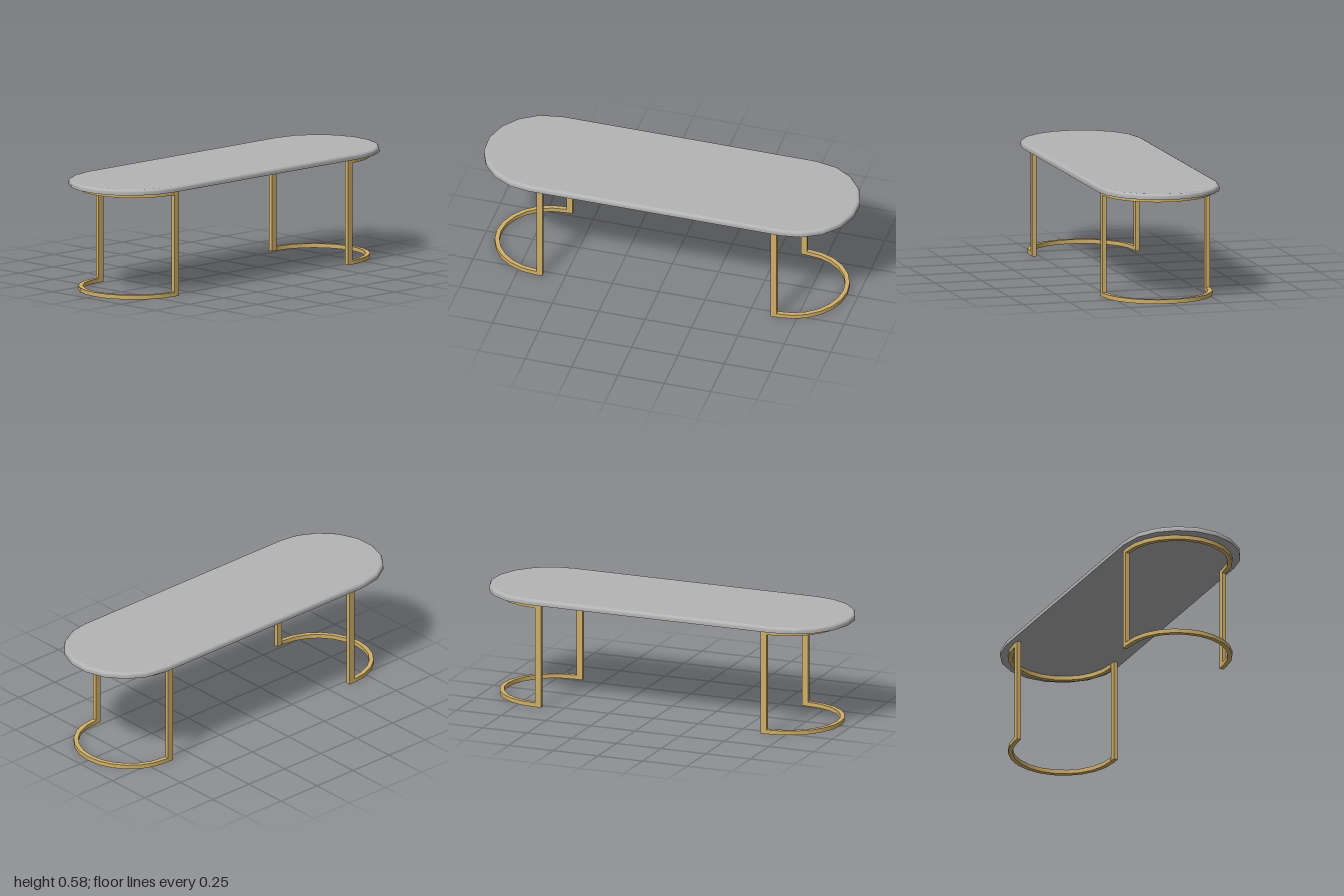
import * as THREE from 'three';
import { toCreasedNormals } from 'three/addons/utils/BufferGeometryUtils.js';

const TOP_Y = 0.585, UNDER_Y = 0.556;

// Pill-shaped outline as [x, z] pairs, clockwise from above
function outline(inset) {
  const r = 0.32 - inset, c = 0.683;
  const right = [0, 22, 42, 62, 82, 102, 122, 142, 162, 180].map((deg) => {
    const a = THREE.MathUtils.degToRad(deg);
    return [c + r * Math.sin(a), -r * Math.cos(a)];
  });
  const left = right.map(([x, z]) => [-x, z]).reverse();
  return [...right, ...left];
}

// Flat convex face filled as a fan
function cap(points, y, up) {
  const pos = [0, y, 0], index = [], n = points.length;
  points.forEach(([x, z]) => pos.push(x, y, z));
  for (let i = 0; i < n; i++) {
    const a = 1 + i, b = 1 + ((i + 1) % n);
    index.push(0, ...(up ? [b, a] : [a, b]));
  }
  return build(pos, index);
}

// Smooth band lofted through [inset, y] profile steps
function rim(profile) {
  const pos = [], index = [], n = outline(0).length;
  profile.forEach(([inset, y]) => outline(inset).forEach(([x, z]) => pos.push(x, y, z)));
  for (let j = 0; j < profile.length - 1; j++) {
    for (let i = 0; i < n; i++) {
      const a = j * n + i, b = j * n + ((i + 1) % n);
      index.push(a, a + n, b, b, a + n, b + n);
    }
  }
  return build(pos, index);
}

function build(pos, index) {
  const g = new THREE.BufferGeometry();
  g.setAttribute('position', new THREE.Float32BufferAttribute(pos, 3));
  g.setIndex(index);
  g.computeVertexNormals();
  return g;
}

export function createModel() {
  const grey = new THREE.MeshStandardMaterial({ color: 0xb4b4b4 });
  grey.name = 'grey stone';
  const gold = new THREE.MeshStandardMaterial({ color: 0xcfb06a });
  gold.name = 'brushed gold';

  const model = new THREE.Group();
  model.name = 'table';
  const add = (parent, name, geometry, material) => {
    const mesh = new THREE.Mesh(geometry, material);
    mesh.name = name;
    parent.add(mesh);
    return mesh;
  };

  // Tabletop: flat faces and a rim rounded along its upper edge
  const tabletop = new THREE.Group();
  tabletop.name = 'tabletop';
  model.add(tabletop);
  const profile = [[0, UNDER_Y], [0, 0.571], [0.002, 0.577], [0.007, 0.583], [0.014, TOP_Y]];
  add(tabletop, 'tabletopRim', rim(profile), grey);
  add(tabletop, 'tabletopSurface', cap(outline(0.014), TOP_Y, true), grey);
  add(tabletop, 'tabletopUnderside', cap(outline(0), UNDER_Y, false), grey);

  // Curved rail: half ring with short straight ends meeting the posts
  const bar = 0.022, postX0 = 0.615, postX1 = 0.648, arcX = 0.655, outer = 0.29;
  const inner = outer - 0.024;
  const shape = new THREE.Shape();
  shape.moveTo(postX1, -outer);
  shape.lineTo(arcX, -outer);
  shape.absarc(arcX, 0, outer, -Math.PI / 2, Math.PI / 2, false);
  shape.lineTo(postX1, outer);
  shape.lineTo(postX1, inner);
  shape.lineTo(arcX, inner);
  shape.absarc(arcX, 0, inner, Math.PI / 2, -Math.PI / 2, true);
  shape.lineTo(postX1, -inner);
  const extruded = new THREE.ExtrudeGeometry(shape, { depth: bar, bevelEnabled: false, curveSegments: 6 });
  extruded.rotateX(Math.PI / 2);
  const rail = toCreasedNormals(extruded, Math.PI / 5);
  const post = new THREE.BoxGeometry(postX1 - postX0, UNDER_Y, bar);

  // One leg frame at each end, the second turned half round
  ['leftLegFrame', 'rightLegFrame'].forEach((name, i) => {
    const frame = new THREE.Group();
    frame.name = name;
    frame.rotation.y = i * Math.PI;
    add(frame, 'footRail', rail, gold).position.y = bar;
    add(frame, 'upperRail', rail, gold).position.y = UNDER_Y;
    for (const side of [-1, 1]) {
      add(frame, 'post', post, gold)
        .position.set((postX0 + postX1) / 2, UNDER_Y / 2, side * (outer - bar / 2));
    }
    model.add(frame);
  });

  return model;
}
